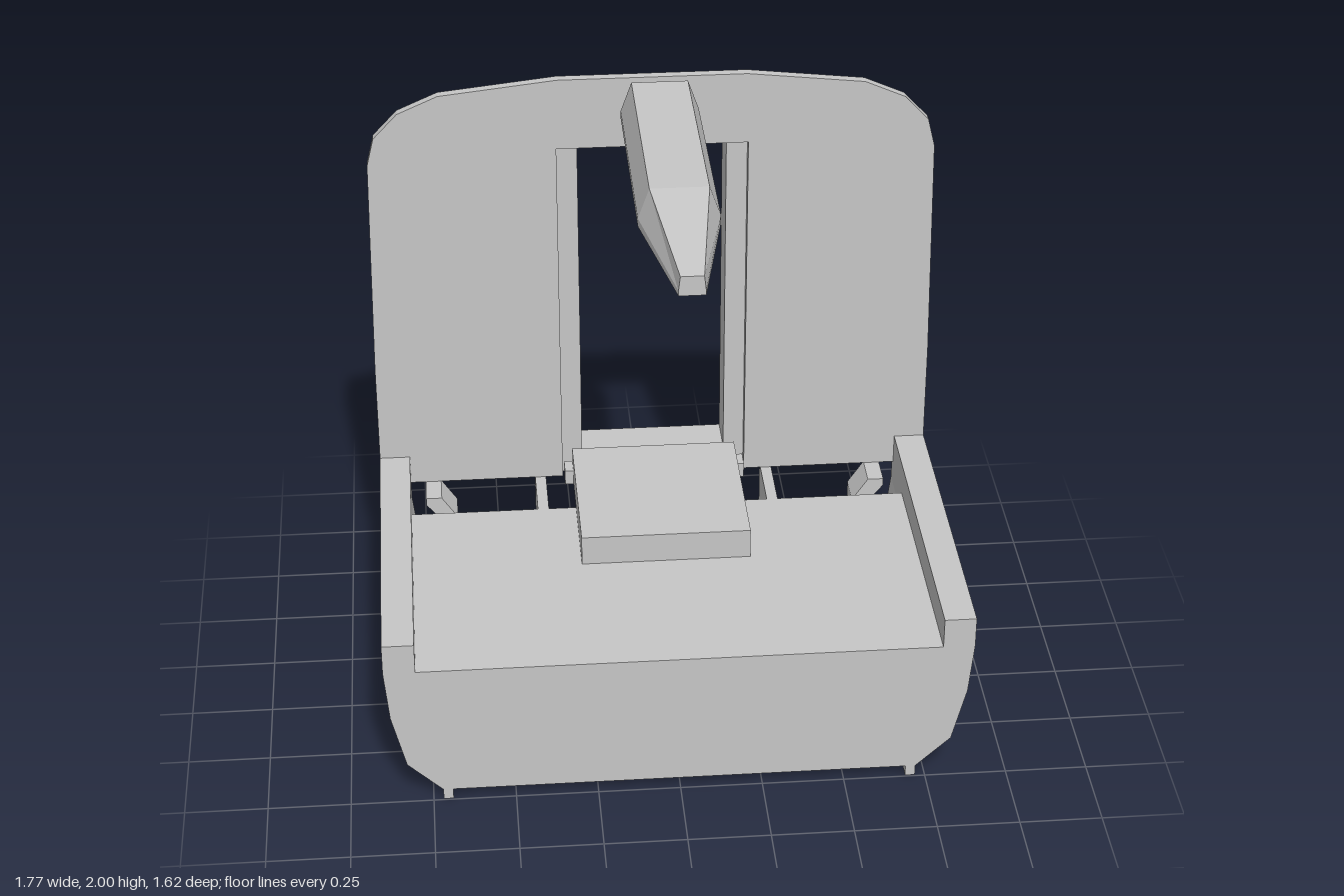
import * as THREE from 'three';

export function createModel() {
  const root = new THREE.Group();
  const grey = new THREE.MeshStandardMaterial({ color: 0xc7c7c7, flatShading: true });
  grey.name = 'bodyGrey';

  const add = (name, geo) => {
    const mesh = new THREE.Mesh(geo, grey);
    mesh.name = name;
    root.add(mesh);
    return mesh;
  };
  // box given by its limits on each axis
  const box = (name, x0, x1, y0, y1, z0, z1) => {
    const m = add(name, new THREE.BoxGeometry(x1 - x0, y1 - y0, z1 - z0));
    m.position.set((x0 + x1) / 2, (y0 + y1) / 2, (z0 + z1) / 2);
  };
  const shapeOf = pts => new THREE.Shape(pts.map(p => new THREE.Vector2(...p)));
  // outline in x, y pushed from z0 to z1
  const prism = (name, shape, z0, z1) => {
    const geo = new THREE.ExtrudeGeometry(shape, { depth: z1 - z0, bevelEnabled: false });
    geo.translate(0, 0, z0);
    return add(name, geo);
  };
  const flip = pts => pts.map(([x, y]) => [-x, y]).reverse();
  // convex cross-sections of equal count, joined and capped
  const loft = (name, rings) => {
    const pos = [];
    const tri = (a, b, c) => pos.push(...a, ...b, ...c);
    const n = rings[0].length;
    for (let r = 0; r < rings.length - 1; r++) {
      for (let i = 0; i < n; i++) {
        const j = (i + 1) % n;
        tri(rings[r][i], rings[r][j], rings[r + 1][j]);
        tri(rings[r][i], rings[r + 1][j], rings[r + 1][i]);
      }
    }
    const last = rings[rings.length - 1];
    for (let i = 1; i < n - 1; i++) {
      tri(rings[0][0], rings[0][i + 1], rings[0][i]);
      tri(last[0], last[i], last[i + 1]);
    }
    const geo = new THREE.BufferGeometry();
    geo.setAttribute('position', new THREE.Float32BufferAttribute(pos, 3));
    geo.computeVertexNormals();
    add(name, geo);
  };

  // lower body with raised side rails
  const side = [[0.72, 0.035], [0.825, 0.135], [0.868, 0.31], [0.883, 0.475], [0.883, 0.572], [0.787, 0.572], [0.787, 0.475]];
  prism('lowerBody', shapeOf([...side, ...flip(side)]), -0.36, 0.495);

  // thin side shells and curved brackets around the open rear bay
  const shell = [[0.69, 0.035], ...side.slice(0, 6), [0.787, 0.4], [0.77, 0.26], [0.735, 0.14], [0.69, 0.07]];
  const bracket = [[0.74, 0.475], [0.69, 0.475], [0.64, 0.4], [0.64, 0.28], [0.69, 0.18], [0.735, 0.14],
    [0.74, 0.2], [0.69, 0.29], [0.69, 0.39], [0.74, 0.45]];
  prism('leftBayShell', shapeOf(shell), -0.58, -0.36);
  prism('rightBayShell', shapeOf(flip(shell)), -0.58, -0.36);
  prism('leftBayBracket', shapeOf(bracket), -0.56, -0.45);
  prism('rightBayBracket', shapeOf(flip(bracket)), -0.56, -0.45);

  // bay floor with rear step, and the slope at the front of the bay
  box('bayFloor', -0.69, 0.69, 0.035, 0.07, -0.615, -0.36);
  const ramp = prism('bayRamp', shapeOf([[0.36, 0.07], [0.49, 0.07], [0.36, 0.14]]), -0.69, 0.69);
  ramp.rotation.y = Math.PI / 2;

  for (const s of [1, -1]) {
    const pair = (name, a, b, ...rest) =>
      box((s > 0 ? 'left' : 'right') + name, Math.min(s * a, s * b), Math.max(s * a, s * b), ...rest);
    pair('BottomRail', 0.69, 0.72, 0, 0.05, -0.58, 0.495);
    pair('BayRib', 0.35, 0.385, 0.07, 0.475, -0.58, -0.36);
    pair('DoorBracket', 0.25, 0.29, 0.475, 0.525, -0.56, -0.5);
  }

  // end wall with rounded top and a doorway
  const wall = [[0.295, 0.475], [0.883, 0.475], [0.883, 0.9], [0.872, 1.62], [0.85, 1.71], [0.775, 1.79], [0.65, 1.845], [0.29, 1.885]];
  prism('endWall', shapeOf([...wall, ...flip(wall), [-0.295, 1.655], [0.295, 1.655]]), -0.582, -0.552);

  // gangway frame behind the doorway
  const frame = shapeOf([[-0.327, 0.475], [0.327, 0.475], [0.327, 1.72], [-0.327, 1.72]]);
  frame.holes.push(shapeOf([[-0.23, 0.545], [-0.23, 1.655], [0.23, 1.655], [0.23, 0.545]]));
  prism('gangwayFrame', frame, -0.717, -0.582);

  // upright corner strips on the back of the wall
  const strip = [[0.87, -0.702], [0.745, -0.72], [0.745, -0.57], [0.883, -0.57]];
  const level = (pts, y, inset) => pts.map(([x, z]) => [Math.abs(x) > 0.8 ? x - Math.sign(x) * inset : x, y, z]);
  for (const [name, pts] of [['leftCornerStrip', strip], ['rightCornerStrip', flip(strip)]]) {
    loft(name, [level(pts, 0.475, 0), level(pts, 0.9, 0), level(pts, 1.62, 0.011)]);
  }

  // raised floor panel
  box('floorPanel', -0.263, 0.263, 0.473, 0.572, -0.56, -0.035);

  // coupling below the gangway
  const drum = add('couplingDrum', new THREE.CylinderGeometry(0.07, 0.07, 0.137, 8, 1, false, Math.PI / 8));
  drum.rotation.x = Math.PI / 2;
  drum.position.set(0, 0.285, -0.6485);
  box('couplingShaft', -0.045, 0.045, 0.245, 0.325, -0.6, -0.36);
  box('couplingHead', -0.05, 0.09, 0.35, 0.475, -0.717, -0.58);
  box('couplingBeam', -0.2, 0.2, 0.35, 0.4, -0.62, -0.57);
  box('couplingHanger', -0.17, -0.12, 0.35, 0.475, -0.7, -0.58);
  const pinRing = (z, r) => [[-r, -r], [r, -r], [r, r], [-r, r]].map(([x, y]) => [0.024 + x, 0.427 + y, z]);
  loft('couplingPin', [pinRing(-0.812, 0.014), pinRing(-0.775, 0.033), pinRing(-0.71, 0.033)]);

  // long roof spine, tapering to the front
  const spine = (z, wide, top, y1, y2) => [[-wide, 1.885], [wide, 1.885], [wide, y1], [top, y2], [-top, y2], [-wide, y1]]
    .map(([x, y]) => [x, y, z]);
  loft('roofSpine', [
    spine(-0.272, 0.115, 0.083, 1.91, 2),
    spine(0.41, 0.115, 0.083, 1.91, 2),
    spine(0.812, 0.037, 0.032, 1.9, 1.943),
  ]);
  return root;
}
